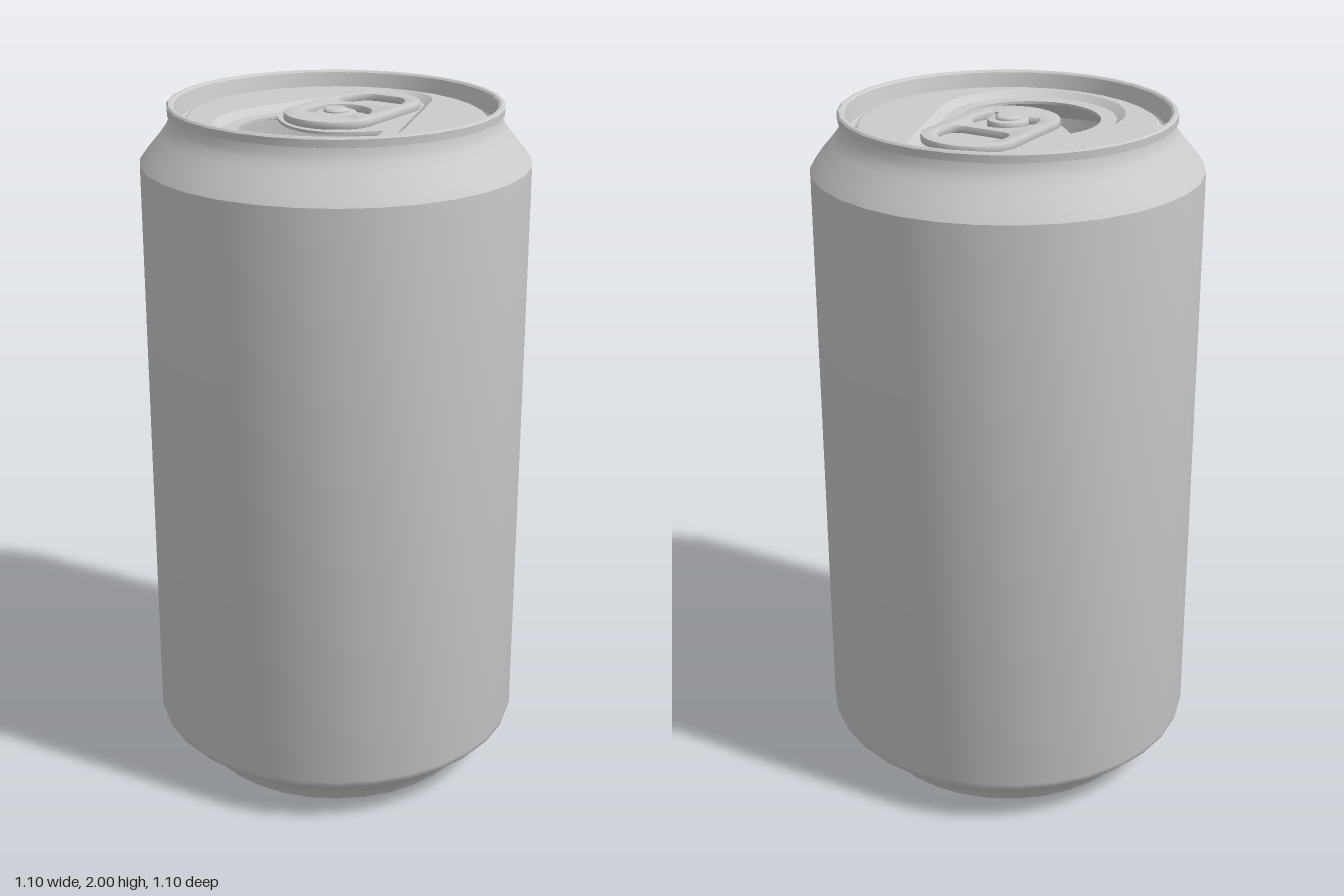
import * as THREE from 'three';
import { toCreasedNormals } from 'three/addons/utils/BufferGeometryUtils.js';

const SIDES = 32;
const PANEL_Y = 1.96; // lid panel
const FLOOR_Y = 1.943; // pressed area of the lid

const material = new THREE.MeshStandardMaterial({ color: 0xcccccc, side: THREE.DoubleSide });

function addPart(group, name, geometry, y = 0) {
  const mesh = new THREE.Mesh(toCreasedNormals(geometry, 0.5), material);
  mesh.name = name;
  mesh.position.y = y;
  group.add(mesh);
  return mesh;
}

function lathe(profile, sides = SIDES) {
  return new THREE.LatheGeometry(profile.map(([r, y]) => new THREE.Vector2(r, y)), sides);
}

// Points [x, z] along an arc; angle 0 is +x, a quarter turn is +z
function arc(cz, r, from, to, steps) {
  return Array.from({ length: steps + 1 }, (_, i) => {
    const a = from + (to - from) * i / steps;
    return [r * Math.cos(a), cz + r * Math.sin(a)];
  });
}

const toVectors = (loop) => loop.map(([x, z]) => new THREE.Vector2(x, -z));

// Flat horizontal sheet with one hole
function sheet(outer, hole) {
  const shape = new THREE.Shape(toVectors(outer));
  shape.holes.push(new THREE.Path(toVectors(hole)));
  return new THREE.ShapeGeometry(shape).rotateX(-Math.PI / 2);
}

// Wall between two closed loops with the same number of points
function wall(top, topY, bottom, bottomY) {
  const n = top.length, positions = [], index = [];
  top.forEach(([x, z], i) => positions.push(x, topY, z, bottom[i][0], bottomY, bottom[i][1]));
  for (let i = 0; i < n; i++) {
    const a = 2 * i, b = 2 * ((i + 1) % n);
    index.push(a, b, a + 1, b, b + 1, a + 1);
  }
  const geometry = new THREE.BufferGeometry();
  geometry.setAttribute('position', new THREE.Float32BufferAttribute(positions, 3));
  geometry.setIndex(index);
  return geometry;
}

// Rounded teardrop: outline around a large front and a small rear circle
function teardrop(inset) {
  const big = 0.265 - inset, small = 0.133 - inset, front = 0.13, rear = -0.267;
  const tilt = Math.asin((big - small) / (front - rear));
  return [
    ...arc(front, big, -tilt, Math.PI + tilt, 20),
    ...arc(rear, small, Math.PI + tilt, 2 * Math.PI - tilt, 12),
  ];
}

// Crescent drinking opening
function mouthLoop() {
  const cz = 0.125, r = 0.198, a = 0.472;
  const loop = arc(cz, r, -a, Math.PI + a, 24);
  const [hornX, hornZ] = loop[0];
  for (let i = 1; i < 14; i++) {
    const t = i / 14;
    loop.push([hornX * (2 * t - 1), hornZ + 0.42 * t * (1 - t)]);
  }
  return loop;
}

function tabGeometry() {
  const s = new THREE.Shape();
  s.moveTo(-0.137, 0.2);
  s.bezierCurveTo(-0.137, 0.27, -0.07, 0.315, 0, 0.315);
  s.bezierCurveTo(0.07, 0.315, 0.137, 0.27, 0.137, 0.2);
  s.lineTo(0.137, -0.03);
  s.bezierCurveTo(0.137, -0.09, 0.07, -0.145, 0, -0.145);
  s.bezierCurveTo(-0.07, -0.145, -0.137, -0.09, -0.137, -0.03);
  s.closePath();

  // Finger hole
  const finger = new THREE.Path();
  finger.moveTo(-0.055, 0.133);
  finger.lineTo(0.055, 0.133);
  finger.quadraticCurveTo(0.097, 0.133, 0.097, 0.175);
  finger.bezierCurveTo(0.097, 0.22, 0.07, 0.265, 0.03, 0.265);
  finger.lineTo(-0.03, 0.265);
  finger.bezierCurveTo(-0.07, 0.265, -0.097, 0.22, -0.097, 0.175);
  finger.quadraticCurveTo(-0.097, 0.133, -0.055, 0.133);

  // Curved slot around the rivet
  const slot = new THREE.Path();
  const end = 0.7;
  slot.absarc(0, 0.012, 0.092, -end, Math.PI + end, false);
  slot.absarc(0, 0, 0.058, Math.PI + end, -end, true);
  slot.closePath();

  s.holes.push(finger, slot);
  return new THREE.ExtrudeGeometry(s, {
    depth: 0.012, bevelEnabled: true, bevelThickness: 0.005, bevelSize: 0.005,
    bevelOffset: -0.005, bevelSegments: 2, curveSegments: 10,
  }).rotateX(-Math.PI / 2);
}

export function createModel() {
  const can = new THREE.Group();
  can.name = 'drinkCan';

  // Hollow body with recessed base, tapered foot and shoulder
  addPart(can, 'body', lathe([
    [0, 0.075], [0.25, 0.073], [0.383, 0.065], [0.393, 0.02], [0.402, 0.003], [0.41, 0], [0.418, 0.003],
    [0.435, 0.032], [0.463, 0.064], [0.5, 0.094], [0.53, 0.114], [0.543, 0.128], [0.548, 0.145],
    [0.548, 1.838], [0.525, 1.87], [0.487, 1.915], [0.471, 1.937], [0.463, 1.955], [0.46, 1.975],
  ]));

  // Rolled rim and the groove inside it
  addPart(can, 'rim', lathe([
    [0.46, 1.972], [0.468, 1.974], [0.469, 1.995], [0.464, 2], [0.455, 2], [0.449, 1.995],
    [0.439, 1.945], [0.434, 1.94], [0.425, 1.94], [0.42, 1.945], [0.417, 1.957], [0.411, PANEL_Y],
  ].reverse()));

  // Lid with pressed teardrop and opening
  const lid = new THREE.Group();
  lid.name = 'lid';
  can.add(lid);
  const outer = teardrop(0), inner = teardrop(0.024), mouth = mouthLoop();
  const lidEdge = arc(0, 0.411, 0, 2 * Math.PI, SIDES).slice(0, SIDES);
  addPart(lid, 'lidPanel', sheet(lidEdge, outer), PANEL_Y);
  addPart(lid, 'recessSlope', wall(outer, PANEL_Y, inner, FLOOR_Y));
  addPart(lid, 'recessFloor', sheet(inner, mouth), FLOOR_Y);
  addPart(lid, 'mouthLip', wall(mouth, FLOOR_Y, mouth, FLOOR_Y - 0.008));

  // Pull tab and its rivet
  addPart(can, 'pullTab', tabGeometry(), 1.954);
  addPart(can, 'rivet', lathe([
    [0.045, FLOOR_Y], [0.035, 1.95], [0.035, 1.975], [0.03, 1.98], [0, 1.981],
  ], 20));

  return can;
}
